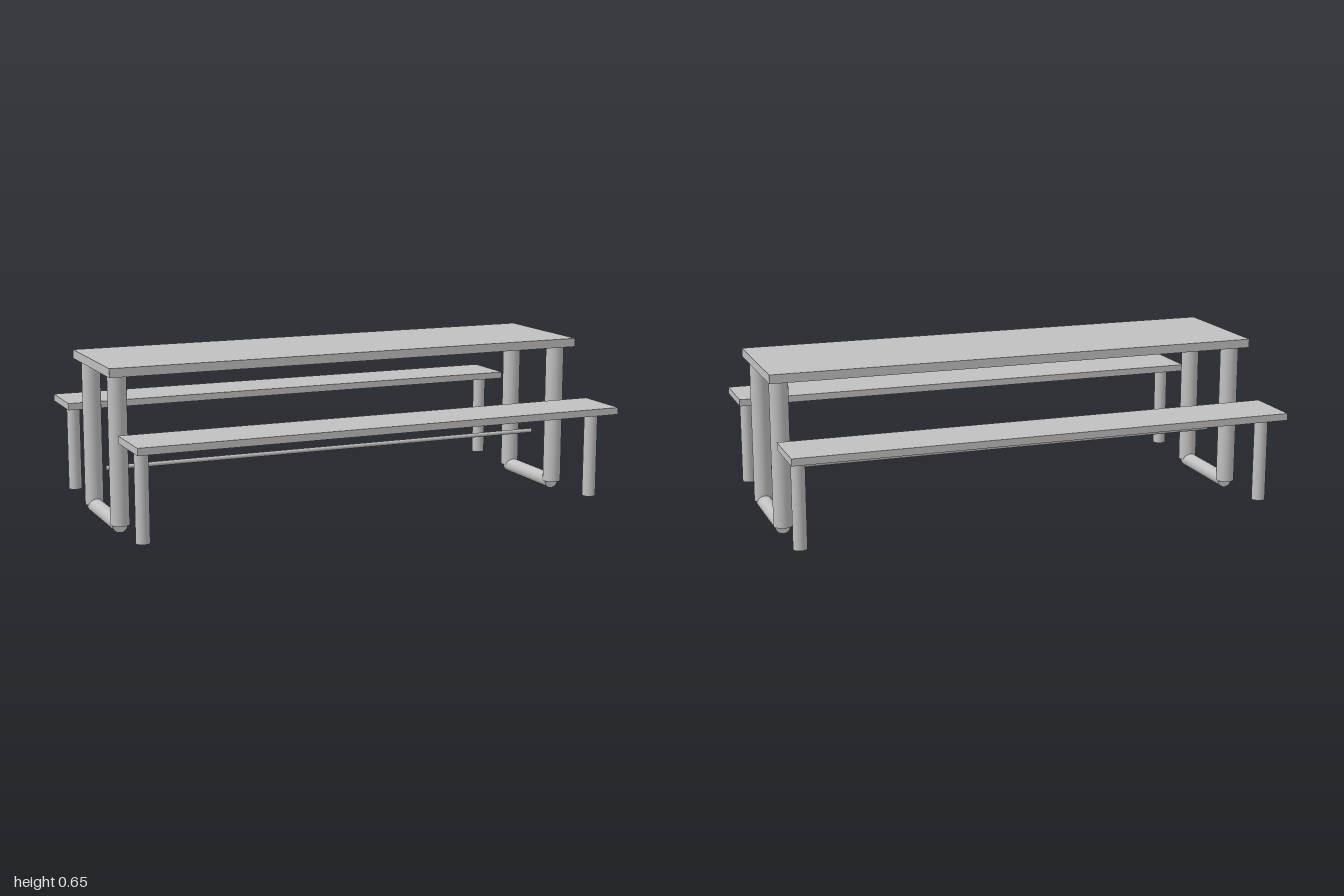
import * as THREE from 'three';

export function createModel() {
  const model = new THREE.Group();
  model.name = 'picnicTable';
  const grey = new THREE.MeshStandardMaterial({ color: 0xc0c0c0 });
  grey.name = 'plain grey';

  const add = (name, geometry, parent, x, y, z) => {
    const mesh = new THREE.Mesh(geometry, grey);
    mesh.name = name;
    mesh.position.set(x, y, z);
    parent.add(mesh);
    return mesh;
  };

  // A slab of flush boards laid side by side along x
  const slab = (name, boards, top, thickness, depth, z) => {
    const group = new THREE.Group();
    group.name = name;
    const width = 2 / boards;
    const board = new THREE.BoxGeometry(width, thickness, depth);
    for (let i = 0; i < boards; i++) {
      add('board', board, group, -1 + width * (i + 0.5), top - thickness / 2, z);
    }
    model.add(group);
  };

  // Upright round post between two heights
  const post = (name, radius, bottom, top, x, z) =>
    add(name, new THREE.CylinderGeometry(radius, radius, top - bottom, 32), model, x, (top + bottom) / 2, z);

  slab('tableTop', 10, 0.65, 0.035, 0.52, 0);
  for (const side of [-1, 1]) slab('benchSeat', 7, 0.415, 0.028, 0.242, side * 0.478);

  // Table and bench legs, with a floor bar joining each pair of table legs
  for (const x of [-0.95, 0.95]) {
    for (const side of [-1, 1]) {
      post('tableLeg', 0.037, 0.033, 0.615, x, side * 0.182);
      post('benchLeg', 0.027, 0.033, 0.387, x, side * 0.477);
    }
    const bar = add('floorBar', new THREE.CylinderGeometry(0.03, 0.03, 0.362, 32), model, x, 0.03, 0);
    bar.rotation.x = Math.PI / 2;
  }

  // Thin rod running the length of the table
  const rod = add('stretcherRod', new THREE.CylinderGeometry(0.009, 0.009, 1.9, 20), model, 0, 0.216, 0);
  rod.rotation.z = Math.PI / 2;

  return model;
}
